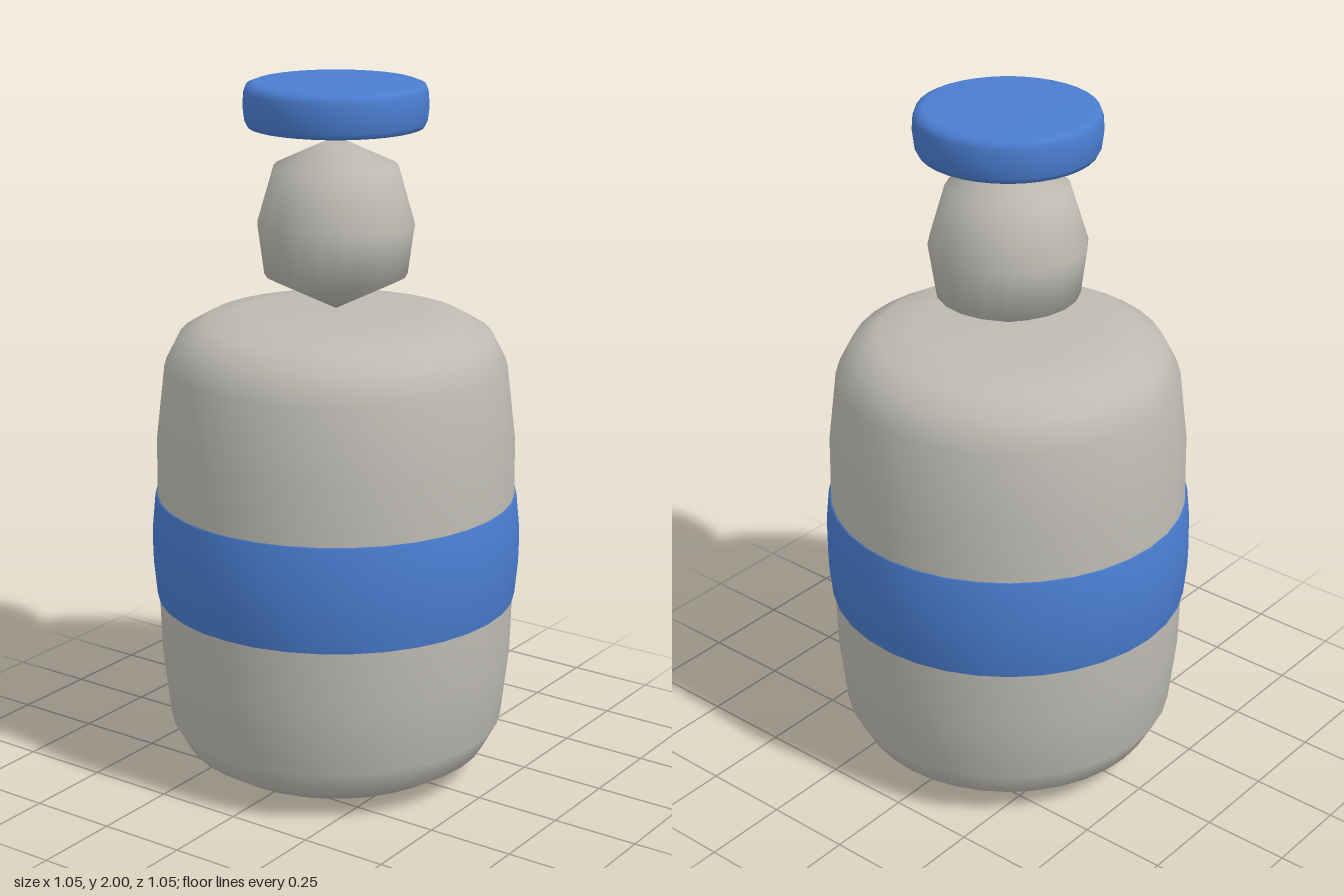
import * as THREE from 'three';

const SEGMENTS = 36;

// Surface of revolution from [radius, height] points, bottom to top
function turned(name, profile, material) {
  const points = profile.map(([r, y]) => new THREE.Vector2(r, y));
  const mesh = new THREE.Mesh(new THREE.LatheGeometry(points, SEGMENTS), material);
  mesh.name = name;
  return mesh;
}

// Faceted bulb: rings turned half a step against each other, with pointed ends
function bulbGeometry(bottomY, rings, topY, sides) {
  const positions = [];
  const index = [];
  rings.forEach(([r, y], k) => {
    for (let i = 0; i < sides; i++) {
      const a = ((i + (k % 2) / 2) / sides) * Math.PI * 2;
      positions.push(r * Math.sin(a), y, r * Math.cos(a));
    }
  });
  const bottom = rings.length * sides;
  const top = bottom + 1;
  positions.push(0, bottomY, 0, 0, topY, 0);
  const id = (k, i) => k * sides + ((i + sides) % sides);
  const last = rings.length - 1;
  for (let i = 0; i < sides; i++) {
    index.push(bottom, id(0, i + 1), id(0, i));
    index.push(top, id(last, i), id(last, i + 1));
    for (let k = 0; k < last; k++) {
      if (k % 2 === 0) {
        index.push(id(k, i), id(k, i + 1), id(k + 1, i));
        index.push(id(k, i + 1), id(k + 1, i + 1), id(k + 1, i));
      } else {
        index.push(id(k, i), id(k, i + 1), id(k + 1, i + 1));
        index.push(id(k, i), id(k + 1, i + 1), id(k + 1, i));
      }
    }
  }
  const geometry = new THREE.BufferGeometry();
  geometry.setAttribute('position', new THREE.Float32BufferAttribute(positions, 3));
  geometry.setIndex(index);
  geometry.computeVertexNormals();
  return geometry;
}

export function createModel() {
  const grey = new THREE.MeshStandardMaterial({ color: 0xbdbbb3 });
  grey.name = 'warm grey';
  const blue = new THREE.MeshStandardMaterial({ color: 0x4a7dd0 });
  blue.name = 'blue';

  const group = new THREE.Group();
  group.name = 'bottle';

  // Rounded body, nearly the same at both ends
  group.add(turned('body', [
    [0, 0], [0.2, 0.015], [0.37, 0.036], [0.44, 0.08], [0.483, 0.16],
    [0.505, 0.36], [0.51, 0.53], [0.512, 0.68], [0.51, 0.83], [0.508, 1.0],
    [0.483, 1.21], [0.44, 1.293], [0.37, 1.333], [0.26, 1.353], [0, 1.36],
  ], grey));

  // Label band around the middle
  group.add(turned('labelBand', [
    [0.508, 0.53], [0.516, 0.532], [0.525, 0.63], [0.526, 0.68],
    [0.525, 0.74], [0.516, 0.832], [0.508, 0.834],
  ], blue));

  // Pointed neck
  const neck = new THREE.Mesh(
    bulbGeometry(1.365, [[0.2, 1.465], [0.22, 1.61], [0.172, 1.77]], 1.85, 20),
    grey,
  );
  neck.name = 'neck';
  group.add(neck);

  // Floating cap
  group.add(turned('cap', [
    [0, 1.876], [0.225, 1.876], [0.243, 1.879], [0.251, 1.895], [0.256, 1.935],
    [0.253, 1.975], [0.246, 1.992], [0.225, 2.0], [0, 2.0],
  ], blue));

  return group;
}
